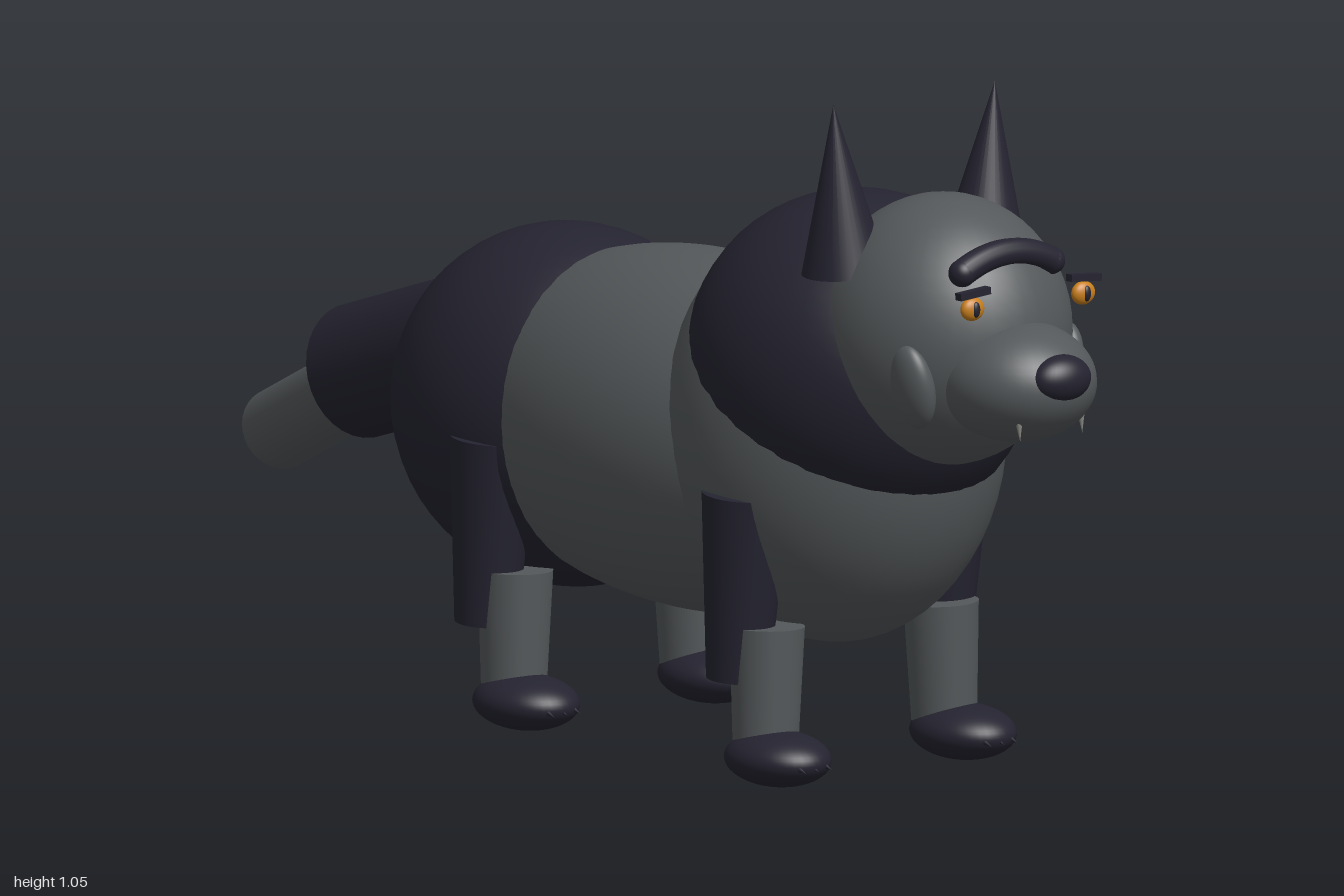
import * as THREE from 'three';

export function createModel() {
  const model = new THREE.Group();
  model.name = 'dog';

  const mat = (name, color) => {
    const m = new THREE.MeshStandardMaterial({ color });
    m.name = name;
    return m;
  };
  const grey = mat('grey fur', 0x54585a);
  const dark = mat('dark fur', 0x242330);
  const amber = mat('amber eye', 0xc97f1c);
  const ivory = mat('dull ivory', 0x85867f);

  function add(name, geometry, material, pos = [0, 0, 0], parent = model) {
    const mesh = new THREE.Mesh(geometry, material);
    mesh.name = name;
    mesh.position.set(...pos);
    parent.add(mesh);
    return mesh;
  }

  // Ellipsoid given by centre and three radii
  function ball(name, material, pos, radii, parent) {
    const geo = new THREE.SphereGeometry(1, 40, 28).scale(...radii);
    return add(name, geo, material, pos, parent);
  }

  // Tapered cylinder running from point a to point b
  function rod(name, material, a, b, ra, rb, parent) {
    const from = new THREE.Vector3(...a), to = new THREE.Vector3(...b);
    const axis = to.clone().sub(from);
    const geo = new THREE.CylinderGeometry(rb, ra, axis.length(), 32);
    const mid = from.add(to).multiplyScalar(0.5);
    const mesh = add(name, geo, material, mid.toArray(), parent);
    mesh.quaternion.setFromUnitVectors(new THREE.Vector3(0, 1, 0), axis.normalize());
    return mesh;
  }

  // Body masses
  ball('torso', grey, [0, 0.468, 0.12], [0.253, 0.273, 0.5]);
  ball('chest', grey, [0, 0.52, 0.43], [0.25, 0.33, 0.27]);
  ball('hips', dark, [0, 0.46, -0.2], [0.252, 0.275, 0.3]);
  ball('mane', dark, [0, 0.627, 0.49], [0.253, 0.258, 0.278]);

  // Tail, with the tip swaying to one side
  rod('tailBase', dark, [0, 0.53, -0.41], [0, 0.438, -0.702], 0.105, 0.103);
  rod('tailTip', grey, [0, 0.43, -0.68], [0.058, 0.304, -0.968], 0.062, 0.062);

  // Head
  const head = new THREE.Group();
  head.name = 'head';
  model.add(head);
  ball('skull', grey, [0, 0.703, 0.69], [0.188, 0.206, 0.2], head);
  ball('muzzle', grey, [0, 0.648, 0.86], [0.118, 0.092, 0.128], head);
  ball('nose', dark, [0, 0.665, 0.965], [0.053, 0.037, 0.035], head);

  // Curved crest across the forehead
  const crest = new THREE.QuadraticBezierCurve3(
    new THREE.Vector3(-0.086, 0.818, 0.838),
    new THREE.Vector3(0, 0.862, 0.838),
    new THREE.Vector3(0.086, 0.818, 0.838));
  add('crest', new THREE.TubeGeometry(crest, 24, 0.021, 16), dark, [0, 0, 0], head);

  for (const s of [1, -1]) {
    const side = s > 0 ? 'left' : 'right';
    ball(side + 'CrestEnd', dark, [s * 0.086, 0.818, 0.838], [0.021, 0.021, 0.021], head);
    rod(side + 'Ear', dark, [s * 0.133, 0.795, 0.617], [s * 0.156, 1.052, 0.617], 0.066, 0, head);

    const cheek = ball(side + 'Cheek', grey, [s * 0.143, 0.645, 0.79], [0.027, 0.067, 0.042], head);
    cheek.rotation.z = -s * 0.2;

    ball(side + 'Eye', amber, [s * 0.107, 0.773, 0.888], [0.021, 0.018, 0.012], head);
    ball(side + 'Pupil', dark, [s * 0.107, 0.773, 0.897], [0.007, 0.012, 0.005], head);
    const brow = add(side + 'Brow', new THREE.BoxGeometry(0.058, 0.011, 0.014), dark,
      [s * 0.107, 0.797, 0.89], head);
    brow.rotation.z = -s * 0.08;

    rod(side + 'Fang', ivory, [s * 0.06, 0.61, 0.94], [s * 0.06, 0.573, 0.944], 0.007, 0, head);

    // Legs: the rear pair repeats the front pair further back
    for (const [end, z] of [['Front', 0], ['Rear', -0.6]]) {
      const leg = new THREE.Group();
      leg.name = side + end + 'Leg';
      leg.position.z = z;
      model.add(leg);
      rod('upperLeg', dark, [s * 0.192, 0.44, 0.455], [s * 0.195, 0.155, 0.436], 0.068, 0.047, leg);
      rod('lowerLeg', grey, [s * 0.173, 0.04, 0.476], [s * 0.168, 0.237, 0.474], 0.049, 0.057, leg);
      ball('paw', dark, [s * 0.179, 0.042, 0.513], [0.073, 0.042, 0.092], leg);
      for (const i of [-1, 0, 1]) {
        const x = s * 0.179 + i * 0.025;
        rod('claw', dark, [x, 0.042, 0.585], [x, 0.034, 0.612], 0.007, 0, leg);
      }
    }
  }
  return model;
}
